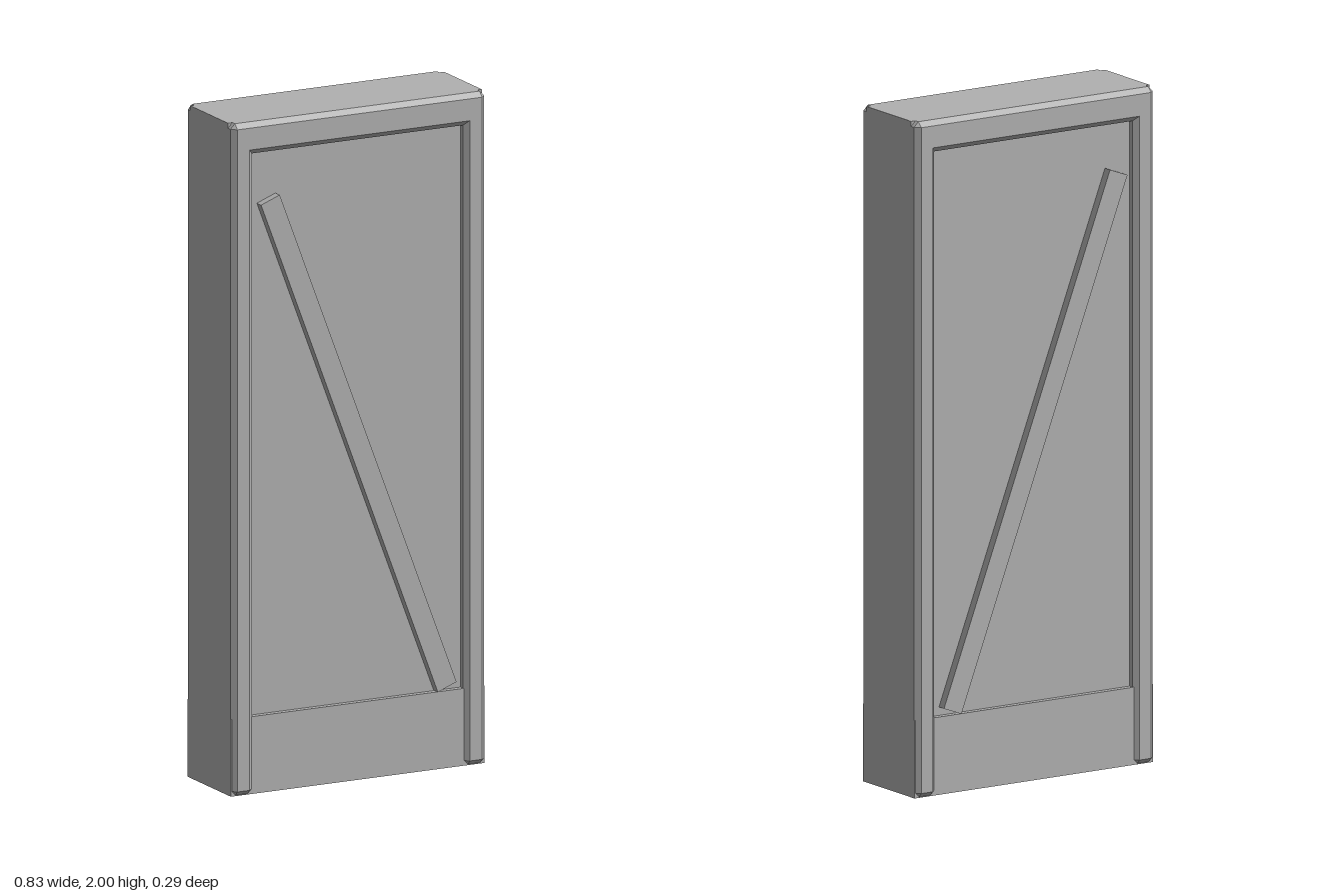
import * as THREE from 'three';
import { ConvexGeometry } from 'three/addons/geometries/ConvexGeometry.js';

const HALF_W = 0.415, HEIGHT = 2, CHAMFER = 0.015;
const FRAME_W = 0.07, TOP_H = 0.095;
const FRAME_Z = 0.115, FRAME_D = 0.06; // centre and depth of the frame bars

// Box with every edge and corner cut at 45 degrees
function chamferedBox(w, h, d, c) {
  const half = [w / 2, h / 2, d / 2];
  const points = [];
  for (const sx of [-1, 1]) for (const sy of [-1, 1]) for (const sz of [-1, 1]) {
    const signs = [sx, sy, sz];
    for (let full = 0; full < 3; full++) {
      points.push(new THREE.Vector3(...signs.map((s, i) => s * (half[i] - (i === full ? 0 : c)))));
    }
  }
  return new ConvexGeometry(points);
}

export function createModel() {
  const group = new THREE.Group();
  const grey = new THREE.MeshStandardMaterial({ color: 0xb0b0b0 });
  grey.name = 'plain grey';

  const add = (name, geometry, x, y, z) => {
    const mesh = new THREE.Mesh(geometry, grey);
    mesh.name = name;
    mesh.position.set(x, y, z);
    group.add(mesh);
    return mesh;
  };

  // Slab and the slightly thicker skirt at its foot
  add('corePanel', new THREE.BoxGeometry(HALF_W * 2, HEIGHT, 0.23), 0, HEIGHT / 2, 0);
  add('skirt', new THREE.BoxGeometry(HALF_W * 2, 0.23, 0.266), 0, 0.115, 0);

  const post = chamferedBox(FRAME_W, HEIGHT, FRAME_D, CHAMFER);
  const beam = chamferedBox(HALF_W * 2, TOP_H, FRAME_D, CHAMFER);

  // Raised frame on both faces
  for (const [face, s] of [['front', 1], ['back', -1]]) {
    for (const [side, sx] of [['Left', 1], ['Right', -1]]) {
      add(face + side + 'Post', post, sx * (HALF_W - FRAME_W / 2), HEIGHT / 2, s * FRAME_Z);
    }
    add(face + 'TopBeam', beam, 0, HEIGHT - TOP_H / 2, s * FRAME_Z);
  }

  // Diagonal brace passing through the slab, proud of both faces
  const top = new THREE.Vector2(-0.29, 1.762), foot = new THREE.Vector2(0.288, 0.243);
  const brace = add('diagonalBrace', new THREE.BoxGeometry(0.065, top.distanceTo(foot), 0.282),
    (top.x + foot.x) / 2, (top.y + foot.y) / 2, 0);
  brace.rotation.z = Math.atan2(foot.x - top.x, top.y - foot.y);

  return group;
}
